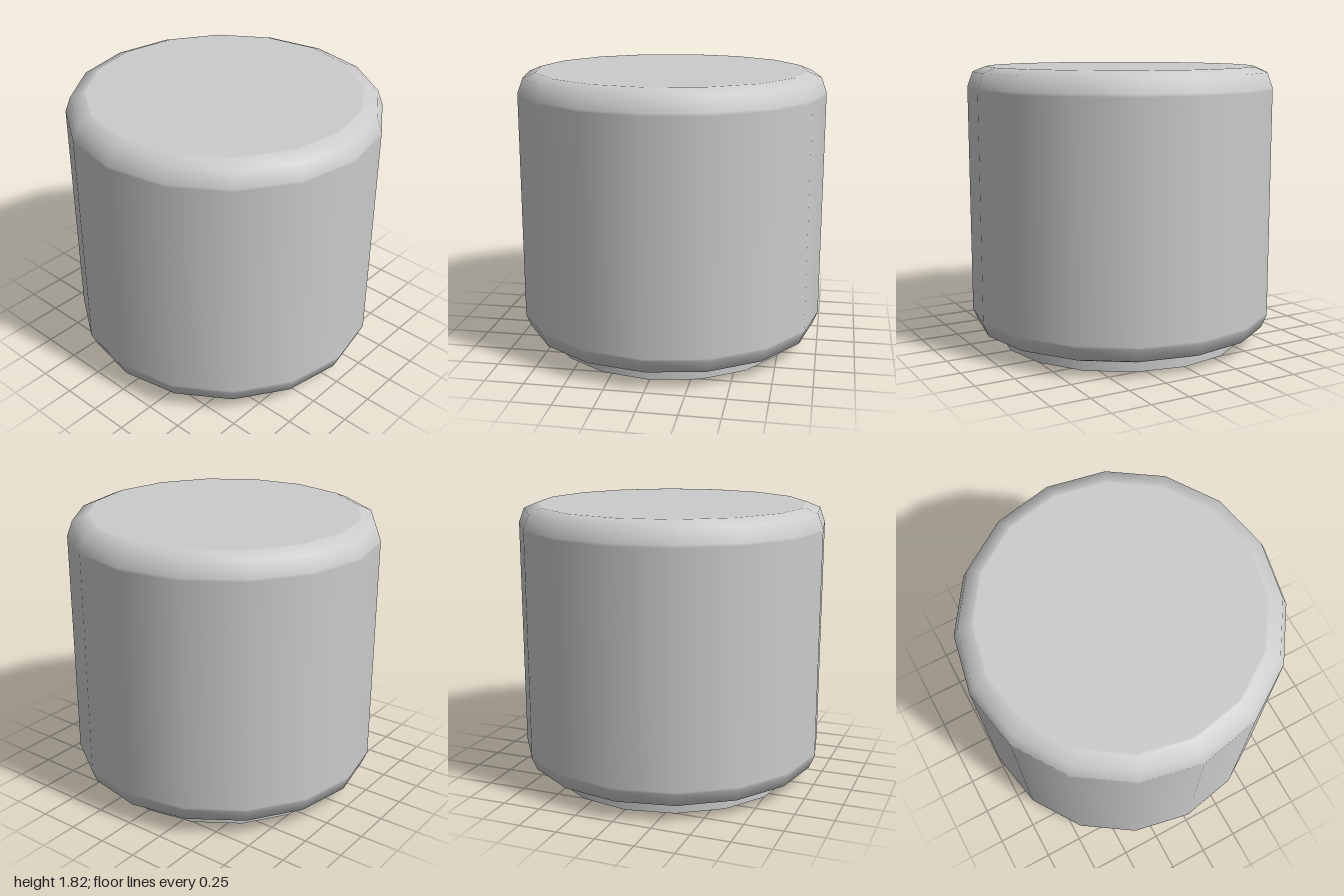
import * as THREE from 'three';

const SIDES = 16;

// Sixteen-sided smooth surface of revolution from [radius, height] pairs, bottom to top
function turned(name, profile, material) {
  const points = profile.map(([r, y]) => new THREE.Vector2(r, y));
  const mesh = new THREE.Mesh(new THREE.LatheGeometry(points, SIDES), material);
  mesh.name = name;
  return mesh;
}

export function createModel() {
  const group = new THREE.Group();
  group.name = 'cap';
  const material = new THREE.MeshStandardMaterial({ color: 0xcccccc, side: THREE.DoubleSide });

  // Hollow shell with an open underside; close loops hold the wall and top flat
  group.add(turned('shell', [
    [0.815, 0.085], [0.88, 0.085], [0.965, 0.117], [1, 0.2], [1, 0.215],
    [1, 1.675], [1, 1.69], [0.965, 1.785], [0.88, 1.82], [0.865, 1.82], [0, 1.82],
  ], material));

  // Thin open collar below the shell
  group.add(turned('collar', [[0.815, 0], [0.815, 0.085]], material));

  return group;
}
